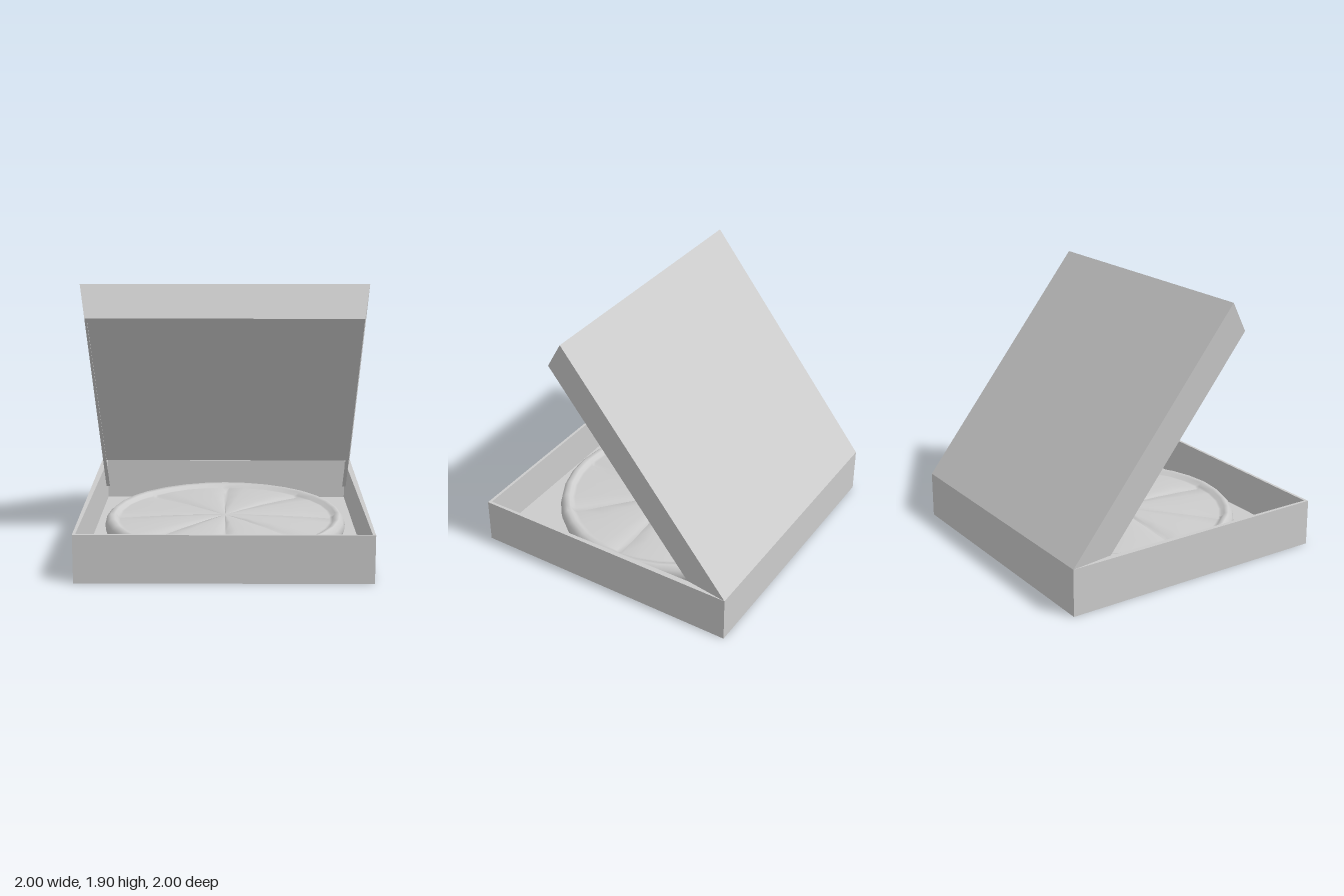
import * as THREE from 'three';

const mat = new THREE.MeshStandardMaterial({ color: 0xcccccc });

function add(parent, name, geometry) {
  const mesh = new THREE.Mesh(geometry, mat);
  mesh.name = name;
  parent.add(mesh);
  return mesh;
}

// Six-sided block whose corners are placed by corner(sx, sy, sz), each sign -1 or 1
function block(corner) {
  const g = new THREE.BoxGeometry(2, 2, 2);
  const p = g.attributes.position;
  for (let i = 0; i < p.count; i++) p.setXYZ(i, ...corner(p.getX(i), p.getY(i), p.getZ(i)));
  g.computeVertexNormals();
  return g;
}

// Tray: floor and a ring of walls that thicken slightly towards the hinge
const RIM = 0.335, FLOOR = 0.03;
function makeTray() {
  const tray = new THREE.Group();
  tray.name = 'tray';
  add(tray, 'trayFloor', new THREE.BoxGeometry(2, FLOOR, 2)).position.y = FLOOR / 2;

  const ring = new THREE.Shape([[-1, -1], [1, -1], [1, 1], [-1, 1]].map(a => new THREE.Vector2(...a)));
  ring.holes.push(new THREE.Path(
    [[-0.98, -0.98], [-0.955, 0.96], [0.955, 0.96], [0.98, -0.98]].map(a => new THREE.Vector2(...a))));
  const walls = new THREE.ExtrudeGeometry(ring, { depth: RIM - FLOOR, bevelEnabled: false });
  walls.rotateX(-Math.PI / 2).translate(0, FLOOR, 0);
  add(tray, 'trayWalls', walls);
  return tray;
}

// Lid: z runs from the hinge to the free edge, y points out of the panel
function makeLid() {
  const lid = new THREE.Group();
  lid.name = 'lid';
  const L = 2.005, D = 0.247, T = 0.028;

  add(lid, 'lidPanel', block((x, y, z) => {
    const top = y > 0;
    return [x * (top ? 1 : 0.995), top ? 0 : -T, z > 0 ? (top ? L : L - 0.01) : 0];
  }));

  // Side flaps lean inwards and dip into the tray behind
  for (const side of [-1, 1]) {
    add(lid, side > 0 ? 'lidLeftFlap' : 'lidRightFlap', block((x, y, z) => {
      const top = y > 0;
      const thick = x * side > 0 ? 0 : (z > 0 ? 0.015 : 0.028);
      return [side * ((top ? 1 : 0.957) - thick), top ? 0 : -D,
        z > 0 ? (top ? L : L - 0.085) : (top ? 0 : -0.03)];
    }));
  }

  add(lid, 'lidFrontFlap', block((x, y, z) => {
    const top = y > 0;
    return [x * (top ? 1 : 0.957), top ? 0 : -D, (top ? L : L - 0.085) - (z > 0 ? 0 : 0.018)];
  }));

  lid.position.set(0, RIM, -1);
  lid.rotation.x = -Math.atan2(1.565, 1.25);
  return lid;
}

// Pizza: rings of a turned profile, with eight grooves pressed into the topping
function makePizza() {
  // radius, height, groove depth
  const rings = [
    [0.82, FLOOR, 0], [0.865, 0.06, 0], [0.88, 0.11, 0], [0.87, 0.155, 0], [0.84, 0.185, 0],
    [0.81, 0.18, 0], [0.79, 0.155, 0], [0.77, 0.15, 0.025], [0.6, 0.16, 0.025],
    [0.4, 0.168, 0.022], [0.2, 0.172, 0.015], [0.07, 0.172, 0.004],
  ];
  const angles = [];
  for (let s = 0; s < 8; s++) {
    for (const a of [0, 2, 11.25, 22.5, 33.75, 43]) angles.push([a, (s * 45 + a) * Math.PI / 180]);
  }
  const n = angles.length, pos = [], index = [];
  for (const [r, h, groove] of rings) {
    for (const [a, t] of angles) {
      const dome = groove * 0.4 * Math.sin(a / 45 * Math.PI);
      pos.push(r * Math.sin(t), h + dome - (a === 0 ? groove : 0), r * Math.cos(t));
    }
  }
  for (let i = 0; i < rings.length - 1; i++) {
    for (let j = 0; j < n; j++) {
      const k = (j + 1) % n, a = i * n + j, b = i * n + k;
      index.push(a, b, b + n, a, b + n, a + n);
    }
  }
  // Close the middle
  const last = (rings.length - 1) * n;
  pos.push(0, 0.17, 0);
  for (let j = 0; j < n; j++) index.push(last + j, last + (j + 1) % n, rings.length * n);

  const g = new THREE.BufferGeometry();
  g.setAttribute('position', new THREE.Float32BufferAttribute(pos, 3));
  g.setIndex(index);
  g.computeVertexNormals();
  return g;
}

export function createModel() {
  const model = new THREE.Group();
  model.name = 'pizzaBox';
  model.add(makeTray(), makeLid());
  add(model, 'pizza', makePizza());
  return model;
}
